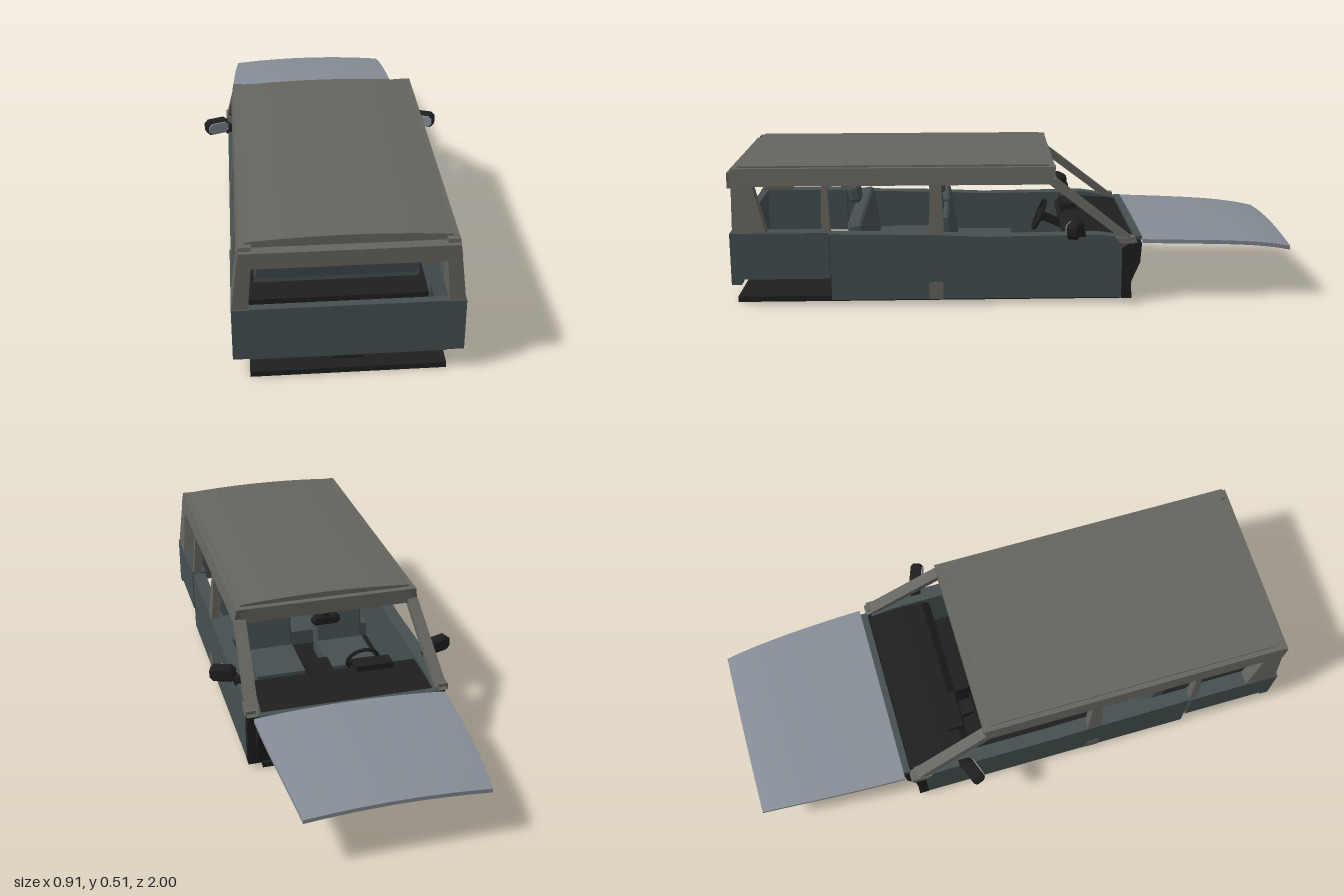
import * as THREE from 'three';

const mat = (name, color, opts = {}) => {
  const m = new THREE.MeshStandardMaterial({ color, ...opts });
  m.name = name;
  return m;
};

export function createModel() {
  const body = mat('slateBody', 0x465051);
  const trim = mat('taupeRoof', 0x66645e);
  const black = mat('blackTrim', 0x1f1f1f);
  const silver = mat('silverHood', 0x868d96);
  const car = new THREE.Group();
  car.name = 'openWagon';

  const add = (name, geo, material, parent = car) => {
    const m = new THREE.Mesh(geo, material);
    m.name = name;
    parent.add(m);
    return m;
  };
  // Box given by its limits on each axis
  const box = (name, material, [x0, x1], [y0, y1], [z0, z1], parent = car) => {
    const m = add(name, new THREE.BoxGeometry(x1 - x0, y1 - y0, z1 - z0), material, parent);
    m.position.set((x0 + x1) / 2, (y0 + y1) / 2, (z0 + z1) / 2);
    return m;
  };
  // (z, y) profile extruded across x
  const slab = (name, material, pts, x0, x1) => {
    const g = new THREE.ExtrudeGeometry(new THREE.Shape(pts.map(p => new THREE.Vector2(...p))),
      { depth: x1 - x0, bevelEnabled: false });
    g.rotateY(-Math.PI / 2).translate(x1, 0, 0);
    return add(name, g, material);
  };
  // Tapered pillar: lower and upper rectangles as [xIn, xOut, zMin, zMax, y]
  const pillar = (name, s, lo, hi, material = trim) => {
    const g = new THREE.BoxGeometry(1, 1, 1), p = g.attributes.position;
    for (let i = 0; i < p.count; i++) {
      const e = p.getY(i) < 0 ? lo : hi;
      p.setXYZ(i, s * (p.getX(i) * s < 0 ? e[0] : e[1]), e[4], p.getZ(i) < 0 ? e[2] : e[3]);
    }
    const flat = g.toNonIndexed();
    flat.computeVertexNormals();
    return add(name, flat, material);
  };
  // Block with chamfered corners, facing z
  const chamfer = (w, h, d, c) => {
    const x = w / 2, y = h / 2;
    const s = new THREE.Shape([[-x + c, -y], [x - c, -y], [x, -y + c], [x, y - c],
      [x - c, y], [-x + c, y], [-x, y - c], [-x, -y + c]].map(p => new THREE.Vector2(...p)));
    const b = Math.min(0.008, d / 4);
    return new THREE.ExtrudeGeometry(s, { depth: d - 2 * b, bevelEnabled: true, bevelSize: b,
      bevelOffset: -b, bevelThickness: b, bevelSegments: 1 }).translate(0, 0, -d / 2 + b);
  };

  // Floor, firewall and dashboard
  box('floor', black, [-0.315, 0.315], [0, 0.02], [-0.43, 0.985]);
  box('floorLatch', black, [-0.05, 0.05], [0.038, 0.046], [0.95, 0.96]);
  box('rearFloorStep', black, [-0.31, 0.31], [0.02, 0.055], [0.4, 0.645]);
  slab('firewall', black, [[-0.42, 0.02], [-0.425, 0.07], [-0.455, 0.14], [-0.46, 0.21],
    [-0.445, 0.225], [-0.42, 0.215], [-0.4, 0.02]], -0.335, 0.335);
  slab('dashboard', black, [[-0.43, 0.2], [-0.43, 0.225], [-0.3, 0.235], [-0.22, 0.235],
    [-0.19, 0.21], [-0.21, 0.13], [-0.3, 0.11], [-0.4, 0.13]], -0.315, 0.315);
  box('windscreenCowl', body, [-0.33, 0.33], [0.222, 0.235], [-0.46, -0.435]);
  box('instrumentHood', black, [-0.22, -0.08], [0.22, 0.257], [-0.26, -0.2]);
  box('centreConsole', black, [-0.045, 0.045], [0.02, 0.15], [-0.25, 0.02]);
  const wheel = new THREE.Group();
  wheel.name = 'steeringWheel';
  wheel.position.set(-0.145, 0.2, -0.12);
  wheel.rotation.x = -0.4;
  add('rim', new THREE.TorusGeometry(0.06, 0.007, 6, 20), black, wheel);
  box('spoke', black, [-0.058, 0.058], [-0.012, 0.012], [-0.012, 0.002], wheel);
  box('column', black, [-0.015, 0.015], [-0.015, 0.015], [-0.1, 0], wheel);
  car.add(wheel);

  // Hood: thin plate bent downward and narrowed toward the nose
  const hood = new THREE.BoxGeometry(2, 1, 1, 12, 1, 12), hp = hood.attributes.position;
  for (let i = 0; i < hp.count; i++) {
    const u = hp.getX(i), t = 0.5 - hp.getZ(i);
    const y = 0.245 - 0.018 * t - 0.022 * t ** 5 - 0.016 * u * u;
    hp.setXYZ(i, u * (0.35 - 0.012 * t - 0.023 * t * t), y + (hp.getY(i) < 0 ? -0.014 : 0), -0.46 - 0.54 * t);
  }
  hood.computeVertexNormals();
  add('hood', hood, silver);

  // Sides, mirrored
  for (const s of [1, -1]) {
    const [a, b] = s > 0 ? [0.315, 0.365] : [-0.365, -0.315];
    slab('doorSide', body, [[-0.385, 0.02], [0.645, 0.02], [0.645, 0.262], [0.28, 0.255],
      [0.1, 0.247], [-0.3, 0.252], [-0.38, 0.24], [-0.42, 0.225], [-0.385, 0.2]], a, b);
    slab('doorFrontEnd', black, [[-0.42, 0.015], [-0.385, 0.015], [-0.385, 0.2], [-0.42, 0.225]], a, b);
    slab('rearQuarter', body, [[0.65, 0.1], [0.96, 0.1], [0.96, 0.08], [0.995, 0.08],
      [0.995, 0.267], [0.65, 0.267]], s > 0 ? 0.312 : -0.368, s > 0 ? 0.368 : -0.312);
    pillar('frontPillar', s, [0.325, 0.368, -0.44, -0.4, 0.222], [0.305, 0.345, -0.15, -0.1, 0.45]);
    pillar('pillarFoot', s, [0.335, 0.372, -0.43, -0.38, 0.22], [0.335, 0.37, -0.43, -0.36, 0.242]);
    pillar('middlePillar', s, [0.33, 0.362, 0.245, 0.3, 0.25], [0.31, 0.345, 0.255, 0.292, 0.44]);
    pillar('rearDoorPillar', s, [0.33, 0.362, 0.645, 0.675, 0.255], [0.31, 0.345, 0.652, 0.672, 0.44]);
    pillar('rearPillar', s, [0.315, 0.366, 0.868, 0.985, 0.265], [0.3, 0.345, 0.915, 0.985, 0.44]);
    pillar('roofRail', s, [0.3, 0.347, -0.14, 0.99, 0.43], [0.3, 0.338, -0.15, 0.985, 0.491]);
    pillar('pillarBase', s, [0.335, 0.367, 0.25, 0.3, 0.02], [0.335, 0.367, 0.25, 0.3, 0.08]);
    for (const z of [0.16, 0.72]) {
      pillar('grabHandle', s, [0.29, 0.305, z - 0.04, z + 0.04, 0.422], [0.29, 0.305, z - 0.04, z + 0.04, 0.432]);
    }

    // Door mirrors
    const mirror = new THREE.Group();
    mirror.name = 'sideMirror';
    mirror.position.set(s * 0.408, 0.282, -0.213);
    mirror.rotation.y = -0.35 * s;
    add('housing', chamfer(0.092, 0.056, 0.045, 0.014), black, mirror);
    add('glass', chamfer(0.08, 0.046, 0.006, 0.012), silver, mirror).position.z = 0.022;
    car.add(mirror);
    pillar('mirrorArm', s, [0.34, 0.37, -0.255, -0.215, 0.245], [0.355, 0.385, -0.25, -0.21, 0.275], black);
  }

  // Tailgate, headers and arched roof
  box('tailgate', body, [-0.312, 0.312], [0.075, 0.267], [0.965, 0.992]);
  box('rearHeader', trim, [-0.338, 0.338], [0.422, 0.478], [0.965, 1]);
  box('frontHeader', trim, [-0.325, 0.325], [0.435, 0.49], [-0.148, -0.11]);
  const arch = new THREE.Shape();
  arch.moveTo(-0.32, 0.478);
  arch.lineTo(0.32, 0.478);
  arch.lineTo(0.32, 0.497);
  arch.quadraticCurveTo(0, 0.523, -0.32, 0.497);
  add('roof', new THREE.ExtrudeGeometry(arch, { depth: 1.09, bevelEnabled: false, curveSegments: 16 })
    .translate(0, 0, -0.125), trim);

  // Interior mirror
  const inner = new THREE.Group();
  inner.name = 'interiorMirror';
  inner.position.set(0, 0.396, -0.12);
  add('housing', chamfer(0.106, 0.038, 0.03, 0.012), black, inner);
  add('glass', chamfer(0.092, 0.028, 0.006, 0.009), silver, inner).position.z = 0.014;
  box('stem', black, [-0.01, 0.01], [0.015, 0.045], [-0.012, 0.002], inner);
  car.add(inner);

  // Seats: cushion, reclined back and headrest
  const seat = (name, x, w, z, backTop, headW, headY, headH) => {
    const g = new THREE.Group();
    g.name = name;
    box('cushion', body, [-w / 2, w / 2], [0.06, 0.12], [z - 0.25, z], g);
    const h = backTop - 0.08;
    const back = add('backrest', chamfer(w, h, 0.055, 0.018), body, g);
    back.position.set(0, 0.08 + h / 2, z);
    back.rotation.x = 0.15;
    const head = add('headrest', chamfer(headW, headH, 0.04, 0.014), body, g);
    head.position.set(0, headY, z + 0.035);
    head.rotation.x = 0.15;
    g.position.x = x;
    car.add(g);
  };
  for (const s of [1, -1]) seat('frontSeat', s * 0.145, 0.19, 0.24, 0.303, 0.092, 0.347, 0.108);
  seat('rearBench', 0, 0.58, 0.55, 0.287, 0.092, 0.33, 0.07);

  return car;
}
